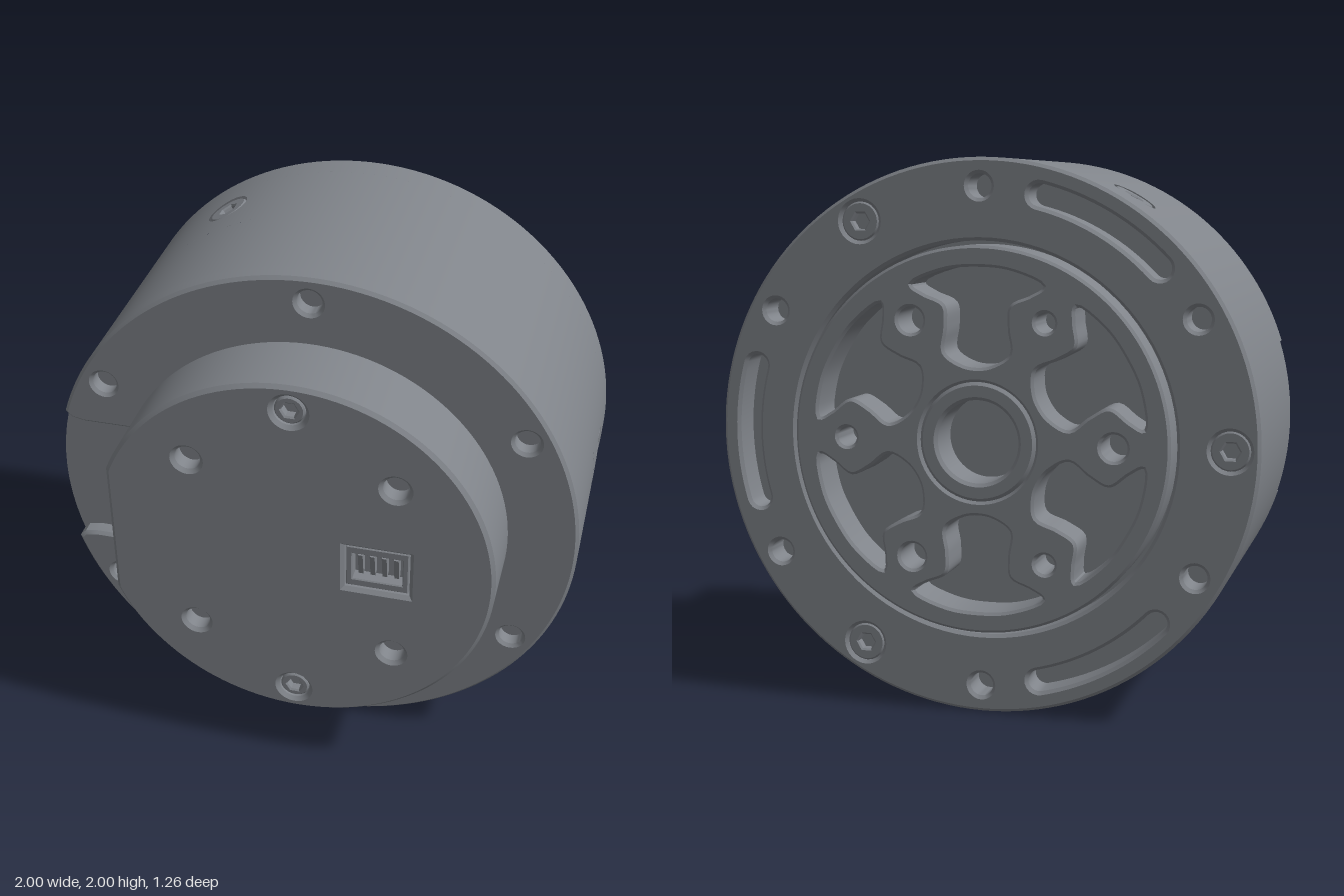
import * as THREE from 'three';
import { toCreasedNormals } from 'three/addons/utils/BufferGeometryUtils.js';

const metal = new THREE.MeshStandardMaterial({ color: 0x80848a });
metal.name = 'grey metal';

const polar = (r, a) => new THREE.Vector2(r * Math.cos(a), r * Math.sin(a));
const deg = Math.PI / 180;

// Points along an arc, both ends included
function arc(r, a0, a1, n, cx = 0, cy = 0) {
  return Array.from({ length: n + 1 }, (_, i) =>
    polar(r, a0 + (a1 - a0) * i / n).add(new THREE.Vector2(cx, cy)));
}
const circle = (r, n = 32, cx = 0, cy = 0) => arc(r, 0, 2 * Math.PI, n, cx, cy).slice(0, n);
const circleAt = (r, radius, angle) => {
  const p = polar(radius, angle);
  return circle(r, 28, p.x, p.y);
};
const rect = (x0, x1, y0, y1) =>
  [[x0, y0], [x1, y0], [x1, y1], [x0, y1]].map(([x, y]) => new THREE.Vector2(x, y));

function mesh(name, geometry, parent) {
  const m = new THREE.Mesh(geometry, metal);
  m.name = name;
  parent.add(m);
  return m;
}

// Chamfered plate between two z levels, with chamfered holes
function slab(name, outline, holes, z0, z1, bevel, parent) {
  const shape = new THREE.Shape(outline);
  shape.holes = holes.map((h) => new THREE.Path(h));
  const g = new THREE.ExtrudeGeometry(shape, {
    depth: z1 - z0 - 2 * bevel, bevelThickness: bevel, bevelSize: bevel,
    bevelOffset: -bevel, bevelSegments: 1,
  });
  g.translate(0, 0, z0 + bevel);
  return mesh(name, toCreasedNormals(g, 0.45), parent);
}

// Flat disc closing the bottom of recesses
function disc(name, r, z, facing, parent) {
  const m = mesh(name, new THREE.CircleGeometry(r, 96), parent);
  m.position.z = z;
  if (facing < 0) m.rotation.y = Math.PI;
  return m;
}

// Socket screw whose top lies at its local z = 0
function screw(name, r, socket, parent) {
  const g = new THREE.Group();
  g.name = name;
  slab('screwHead', circle(r, 32), [circle(socket, 6)], -0.05, 0, 0.006, g);
  disc('socketFloor', socket * 1.3, -0.035, 1, g);
  parent.add(g);
  return g;
}

// Part of the unit cylinder wall; f(u, v) gives [angle, z]
function wallPatch(name, nu, nv, f, parent) {
  const pos = [], nor = [], idx = [];
  for (let j = 0; j <= nv; j++) {
    for (let i = 0; i <= nu; i++) {
      const [a, z] = f(i / nu, j / nv);
      pos.push(Math.cos(a), Math.sin(a), z);
      nor.push(Math.cos(a), Math.sin(a), 0);
      if (i < nu && j < nv) {
        const k = j * (nu + 1) + i, t = k + nu + 1;
        idx.push(k, k + 1, t + 1, k, t + 1, t);
      }
    }
  }
  const g = new THREE.BufferGeometry();
  g.setAttribute('position', new THREE.Float32BufferAttribute(pos, 3));
  g.setAttribute('normal', new THREE.Float32BufferAttribute(nor, 3));
  g.setIndex(idx);
  mesh(name, g, parent);
}

function buildWall(parent) {
  const zBack = -0.58, zFront = 0.29, zs = -0.33, half = 0.2, hole = 0.085;
  for (let k = 0; k < 3; k++) {
    const c = k * 120 * deg;
    const strip = (a0, a1, z0, z1, n) => wallPatch('bodyWall', n, 1,
      (u, v) => [c + a0 + (a1 - a0) * u, z0 + (z1 - z0) * v], parent);
    strip(half, 120 * deg - half, zBack, zFront, 40);
    strip(-half, half, zBack, zs - half, 8);
    strip(-half, half, zs + half, zFront, 8);
    // square of wall with a round screw hole
    wallPatch('bodyWallAroundScrew', 48, 5, (u, v) => {
      const p = -2 * Math.PI * u, x = Math.cos(p), y = Math.sin(p);
      const edge = half / Math.max(Math.abs(x), Math.abs(y));
      const r = hole + (edge - hole) * v;
      return [c + r * x, zs + r * y];
    }, parent);
    // radial screw
    const s = new THREE.Group();
    s.name = 'sideScrew';
    s.position.set(0.997 * Math.cos(c), 0.997 * Math.sin(c), zs);
    s.quaternion.setFromUnitVectors(new THREE.Vector3(0, 0, 1),
      new THREE.Vector3(Math.cos(c), Math.sin(c), 0));
    screw('sideScrewHead', 0.077, 0.034, s);
    disc('sideScrewSeat', 0.11, -0.04, 1, s);
    parent.add(s);
  }
}

function buildBack(parent) {
  const holes = [circle(0.71, 96)];
  for (let k = 0; k < 6; k++) holes.push(circleAt(0.043, 0.9, (30 + 60 * k) * deg));
  for (let k = 0; k < 3; k++) {
    const a = k * 120 * deg, w = 16 * deg, r = 0.895, hw = 0.04;
    const e0 = polar(r, a - w), e1 = polar(r, a + w);
    // curved slot with round ends
    holes.push([
      ...arc(r + hw, a - w, a + w, 16),
      ...arc(hw, a + w, a + w + Math.PI, 10, e1.x, e1.y).slice(1, -1),
      ...arc(r - hw, a + w, a - w, 16),
      ...arc(hw, a - w + Math.PI, a - w + 2 * Math.PI, 10, e0.x, e0.y).slice(1, -1),
    ]);
    const b = a + 60 * deg;
    holes.push(circleAt(0.07, 0.895, b));
    const s = screw('backScrew', 0.07, 0.032, parent);
    s.position.set(0.895 * Math.cos(b), 0.895 * Math.sin(b), -0.587);
    s.rotation.y = Math.PI;
  }
  slab('backRing', circle(1, 144), holes, -0.595, -0.47, 0.012, parent);
  disc('backFloor', 0.999, -0.47, -1, parent);

  // rotor with six wavy pockets and six bolt holes
  const side = [[0.28, 0.2], [0.34, 0.36], [0.42, 0.27], [0.5, 0.24], [0.56, 0.36], [0.605, 0.41]];
  const profile = [[0.265, 0], ...side, [0.62, 0.2], [0.62, 0], [0.62, -0.2],
    ...side.map(([r, a]) => [r, -a]).reverse()];
  const cuts = [circle(0.215, 64)];
  for (let k = 0; k < 6; k++) {
    const mid = (30 + 60 * k) * deg;
    const curve = new THREE.CatmullRomCurve3(profile.map(([r, a]) => {
      const p = polar(r, mid + a);
      return new THREE.Vector3(p.x, p.y, 0);
    }), true);
    cuts.push(curve.getPoints(72).slice(0, 72).map((p) => new THREE.Vector2(p.x, p.y)));
    cuts.push(circleAt(k % 2 ? 0.048 : 0.036, 0.495, 60 * k * deg));
  }
  slab('rotor', circle(0.695, 128), cuts, -0.63, -0.465, 0.01, parent);
  slab('rotorHub', circle(0.215, 64), [circle(0.15, 64)], -0.63, -0.465, 0.012, parent);
}

function buildFront(parent) {
  // front ring with a cable notch on one side
  const a = Math.PI - 0.305;
  const notch = [[-0.93, 0.275], [-0.88, 0.265], [-0.67, 0.265]];
  const outline = [
    ...arc(1, -a, a, 140),
    ...notch.map(([x, y]) => new THREE.Vector2(x, y)),
    ...notch.map(([x, y]) => new THREE.Vector2(x, -y)).reverse(),
  ];
  const holes = [];
  for (let k = 0; k < 6; k++) holes.push(circleAt(0.046, 0.905, (30 + 60 * k) * deg));
  slab('frontRing', outline, holes, 0.265, 0.35, 0.012, parent);
  disc('frontFloor', 0.999, 0.29, 1, parent);

  // cover: round with one flat side
  const r = 0.743, flat = Math.PI - Math.acos(0.69 / r);
  const cuts = [rect(0.195, 0.435, -0.095, 0.095)];
  for (const sx of [-1, 1]) {
    for (const sy of [-1, 1]) cuts.push(circle(0.048, 28, 0.377 * sx, 0.377 * sy));
  }
  for (const sy of [-1, 1]) {
    cuts.push(circle(0.06, 32, 0, 0.64 * sy));
    screw('coverScrew', 0.055, 0.03, parent).position.set(0, 0.64 * sy, 0.618);
  }
  slab('cover', arc(r, -flat, flat, 112), cuts, 0.26, 0.63, 0.014, parent);
  disc('coverFloor', 0.68, 0.56, 1, parent);

  // connector in its recess
  const socket = new THREE.Group();
  socket.name = 'connector';
  socket.position.set(0.315, 0, 0.56);
  slab('connectorShell', rect(-0.115, 0.115, -0.09, 0.09),
    [rect(-0.092, 0.092, -0.058, 0.058)], 0, 0.055, 0.004, socket);
  for (let i = 0; i < 4; i++) {
    const pin = mesh('connectorPin', new THREE.BoxGeometry(0.018, 0.1, 0.035), socket);
    pin.position.set(-0.066 + 0.044 * i, 0, 0.017);
    pin.rotation.x = 0.2;
  }
  parent.add(socket);
}

export function createModel() {
  const model = new THREE.Group();
  model.name = 'actuator';
  const body = new THREE.Group();
  body.name = 'housing';
  body.position.y = 1;
  buildWall(body);
  buildBack(body);
  buildFront(body);
  model.add(body);
  return model;
}
